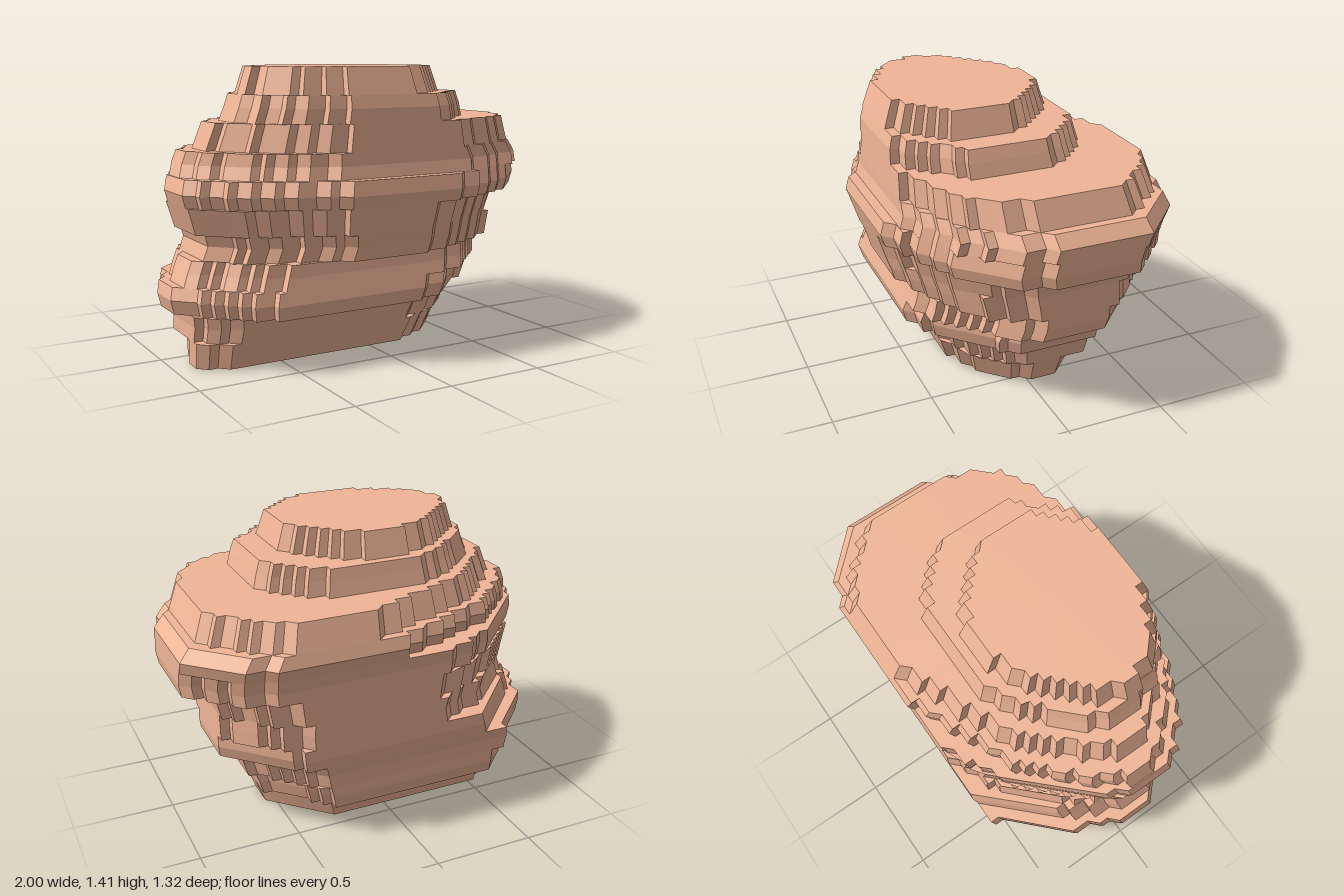
import * as THREE from 'three';

const SIDES = 144;
const STEP = 0.046;

// Each band is one layer of stone. "cuts" limits its diagonals
// (x+z, z-x, -x-z, x-z); each row is height, x max, z max, x min, z min.
const lower = [
  { cuts: [0.57, 1.12, 0.93, 0.7], rows: [[0, 0.55, 0.3, -0.9, -0.425], [0.13, 0.6, 0.345, -0.91, -0.46]] },
  { cuts: [0.65, 1.1, 1.1, 0.85], rows: [[0.13, 0.6, 0.345, -0.91, -0.555], [0.2, 0.62, 0.37, -0.91, -0.575], [0.26, 0.64, 0.39, -0.92, -0.575]] },
  { cuts: [0.79, 1.14, 1.15, 0.95], rows: [[0.26, 0.68, 0.51, -0.98, -0.575], [0.33, 0.7, 0.53, -1, -0.58], [0.39, 0.72, 0.515, -0.985, -0.6]] },
  { cuts: [0.9, 1.12, 1.08, 1.08], rows: [[0.39, 0.81, 0.515, -0.945, -0.6], [0.45, 0.82, 0.5, -0.92, -0.615], [0.51, 0.82, 0.49, -0.895, -0.615]] },
];
const middle = [
  { cuts: [0.98, 1.06, 1, 1.15], rows: [[0.51, 0.82, 0.56, -0.85, -0.615], [0.58, 0.82, 0.58, -0.83, -0.615], [0.64, 0.82, 0.6, -0.85, -0.615]] },
  { cuts: [1, 1.12, 0.97, 1.18], rows: [[0.64, 0.82, 0.6, -0.895, -0.615], [0.77, 0.85, 0.64, -0.94, -0.615]] },
  { cuts: [1.17, 1.18, 1, 1.32], rows: [[0.77, 0.99, 0.64, -0.94, -0.615], [0.83, 1, 0.66, -0.96, -0.615], [0.9, 1, 0.645, -0.94, -0.635]] },
];
const ledge = [
  { cuts: [1.2, 1.11, 0.96, 1.35], rows: [[0.9, 1, 0.595, -0.935, -0.635], [0.96, 1, 0.58, -0.915, -0.66], [1.02, 0.95, 0.58, -0.895, -0.64]] },
  { cuts: [1.14, 1, 0.84, 1.25], rows: [[1.02, 0.91, 0.58, -0.815, -0.64], [1.15, 0.86, 0.575, -0.77, -0.595]] },
];
const cap = [
  { cuts: [0.82, 0.95, 0.7, 0.68], rows: [[1.15, 0.55, 0.575, -0.69, -0.38], [1.22, 0.53, 0.573, -0.665, -0.36], [1.28, 0.51, 0.557, -0.645, -0.345]] },
  { cuts: [0.68, 0.92, 0.56, 0.38], rows: [[1.28, 0.38, 0.557, -0.645, -0.3], [1.41, 0.34, 0.513, -0.6, -0.258]] },
];

// Eight straight limits plus a shallow cut across each corner
function outlinePlanes([fr, fl, bl, br], [, x1, z1, x0, z0], chips) {
  const limits = [x1, fr, z1, fl, -x0, bl, -z0, br];
  const planes = limits.map((d, i) => {
    const a = (i * Math.PI) / 4;
    return [Math.cos(a), Math.sin(a), i % 2 ? d / Math.SQRT2 : d];
  });
  const corners = planes.map(([ax, az, ad], i) => {
    const [bx, bz, bd] = planes[(i + 1) % 8];
    const det = ax * bz - az * bx;
    const vx = (ad * bz - bd * az) / det, vz = (ax * bd - bx * ad) / det;
    const a = ((i + 0.5) * Math.PI) / 4;
    const nx = Math.cos(a), nz = Math.sin(a);
    return [nx, nz, nx * vx + nz * vz - chips[i]];
  });
  return [...planes, ...corners];
}

// Stair-stepped outline of a band, as fractions of its width and depth
function steppedOutline(cuts, row, chips) {
  const [, x1, z1, x0, z0] = row;
  const cx = (x0 + x1) / 2, cz = (z0 + z1) / 2;
  const planes = outlinePlanes(cuts, row, chips);
  const stepsX = Math.round((x1 - x0) / STEP), stepsZ = Math.round((z1 - z0) / STEP);
  return Array.from({ length: SIDES }, (_, i) => {
    const a = (i / SIDES) * Math.PI * 2;
    const dx = Math.cos(a), dz = Math.sin(a);
    let r = Infinity;
    for (const [nx, nz, d] of planes) {
      const facing = nx * dx + nz * dz;
      if (facing > 1e-6) r = Math.min(r, (d - nx * cx - nz * cz) / facing);
    }
    return [
      Math.round(((cx + r * dx - x0) / (x1 - x0)) * stepsX) / stepsX,
      Math.round(((cz + r * dz - z0) / (z1 - z0)) * stepsZ) / stepsZ,
    ];
  });
}

// Fit a band's outline to each of its rows
function bandRings({ cuts, rows }, chips) {
  const outline = steppedOutline(cuts, rows[0], chips);
  return rows.map(([y, x1, z1, x0, z0]) => ({
    points: outline.map(([u, v]) => new THREE.Vector3(x0 + u * (x1 - x0), y, z0 + v * (z1 - z0))),
    centre: new THREE.Vector3((x0 + x1) / 2, y, (z0 + z1) / 2),
  }));
}

// Join the rings of several bands into a closed faceted solid
function makeTier(name, bands, chips, material) {
  const rings = bands.flatMap((band) => bandRings(band, chips));
  const positions = [];
  const tri = (a, b, c) => {
    if (a.equals(b) || b.equals(c) || c.equals(a)) return;
    for (const p of [a, b, c]) positions.push(p.x, p.y, p.z);
  };
  const first = rings[0], last = rings[rings.length - 1];
  for (let i = 0; i < SIDES; i++) {
    const j = (i + 1) % SIDES;
    for (let k = 0; k < rings.length - 1; k++) {
      const low = rings[k].points, up = rings[k + 1].points;
      tri(low[i], up[i], up[j]);
      tri(low[i], up[j], low[j]);
    }
    tri(first.centre, first.points[i], first.points[j]);
    tri(last.centre, last.points[j], last.points[i]);
  }
  const geometry = new THREE.BufferGeometry();
  geometry.setAttribute('position', new THREE.Float32BufferAttribute(positions, 3));
  geometry.computeVertexNormals();
  const mesh = new THREE.Mesh(geometry, material);
  mesh.name = name;
  return mesh;
}

export function createModel() {
  const group = new THREE.Group();
  group.name = 'layeredRock';
  const stone = new THREE.MeshStandardMaterial({ color: 0xf1b697, flatShading: true });
  // Corner chips run from the +x side round through the front, -x and back
  group.add(
    makeTier('lowerStrata', lower, [0.02, 0.05, 0.03, 0.01, 0.07, 0.01, 0.01, 0.01], stone),
    makeTier('middleStrata', middle, [0.05, 0.1, 0.11, 0.02, 0.03, 0.07, 0.04, 0.01], stone),
    makeTier('ledgeStrata', ledge, [0.05, 0.09, 0.08, 0.02, 0.03, 0.14, 0.04, 0.01], stone),
    makeTier('capStrata', cap, [0.01, 0.03, 0.06, 0.03, 0.03, 0.05, 0.03, 0.02], stone),
  );
  return group;
}
